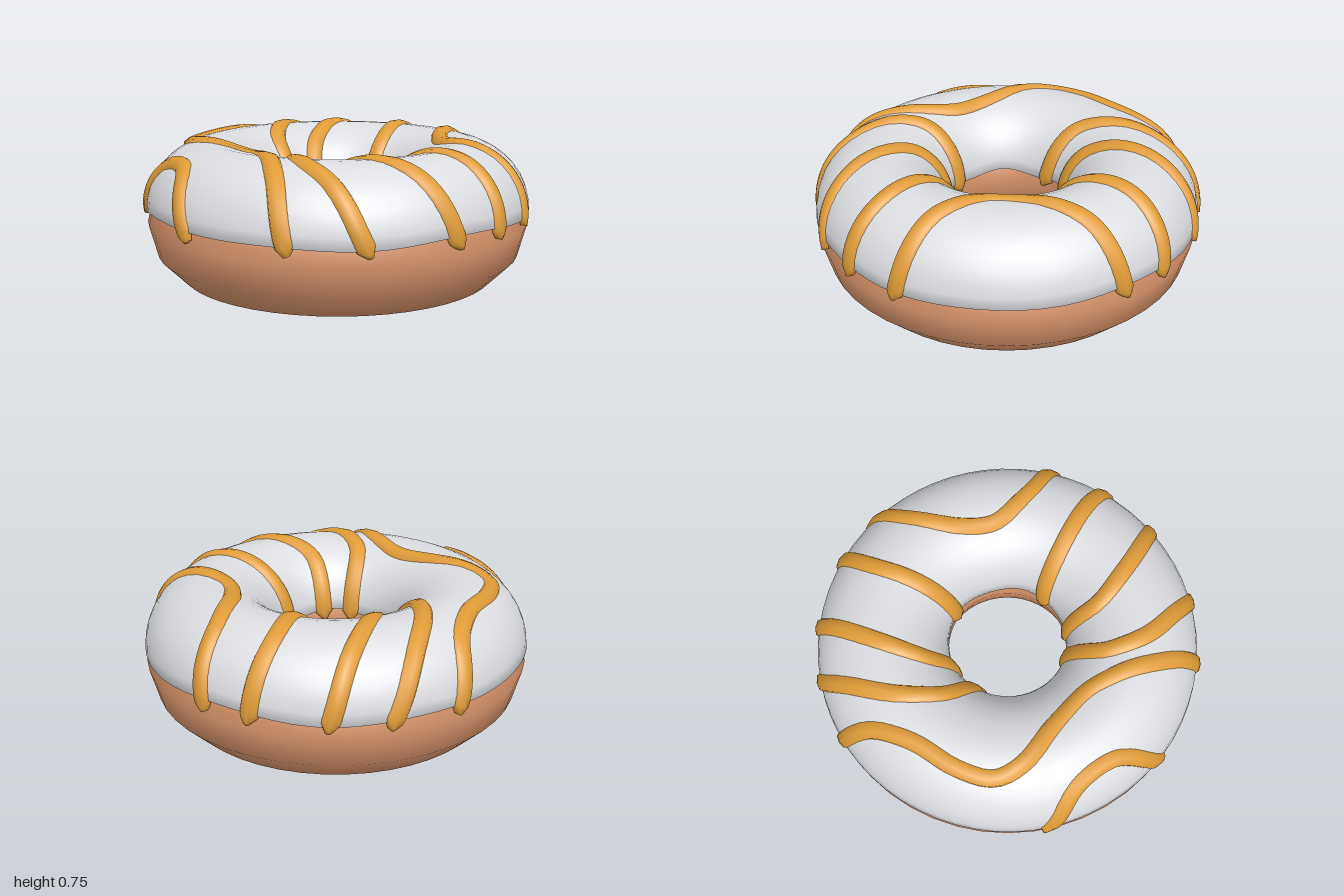
import * as THREE from 'three';

const R = 0.645;                          // ring radius
const A = 0.34, B = 0.335, YC = 0.4;      // icing half-ellipse section
const WIDTH = 0.05;                       // half width of a drizzle stripe

// Point on the icing: theta around the ring, t around the tube (0 outer, PI inner)
function icingPoint(theta, t, lift = 0) {
  const r = R + (A + lift) * Math.cos(t);
  return new THREE.Vector3(r * Math.sin(theta), YC + (B + lift) * Math.sin(t), r * Math.cos(theta));
}

// Snap any point to the icing surface, raised by lift
function snap(p, lift = 0) {
  const t = Math.atan2((p.y - YC) / B, (Math.hypot(p.x, p.z) - R) / A);
  return icingPoint(Math.atan2(p.x, p.z), t < -Math.PI / 2 ? t + 2 * Math.PI : t, lift);
}

// Smooth surface from equal rows of points, optionally joined last row to first
function gridSurface(rows, closed) {
  const n = rows[0].length, index = [];
  const count = closed ? rows.length : rows.length - 1;
  for (let i = 0; i < count; i++) {
    for (let j = 0; j < n - 1; j++) {
      const a = i * n + j, b = ((i + 1) % rows.length) * n + j;
      index.push(a, b, b + 1, a, b + 1, a + 1);
    }
  }
  const g = new THREE.BufferGeometry().setFromPoints(rows.flat());
  g.setIndex(index);
  g.computeVertexNormals();
  return g;
}

// Icing cap with a gently wavy lower edge tucked into the dough
function icingGeometry() {
  const rows = [], around = 64, across = 18;
  for (let i = 0; i < around; i++) {
    const th = (i / around) * Math.PI * 2;
    const t0 = 0.02 + 0.035 * Math.sin(4 * th + 0.4) + 0.02 * Math.sin(7 * th);
    const t1 = Math.PI - 0.02 + 0.04 * Math.sin(5 * th + 1);
    const row = [icingPoint(th, t0 - 0.01, -0.03)];
    for (let j = 0; j <= across; j++) row.push(icingPoint(th, t0 + (t1 - t0) * j / across));
    row.push(icingPoint(th, t1 + 0.01, -0.03));
    rows.push(row);
  }
  return gridSurface(rows, true);
}

// Raised drizzle ribbon following a plan path of [x, z] points
function stripeGeometry(path) {
  const pts = path.map(([x, z], i) => {
    const r = Math.hypot(x, z), th = Math.atan2(x, z);
    const end = i === 0 || i === path.length - 1;
    if (end) return icingPoint(th, r > R ? -0.1 : Math.PI + 0.1);
    return icingPoint(th, Math.acos(THREE.MathUtils.clamp((r - R) / A, -1, 1)));
  });
  const curve = new THREE.CatmullRomCurve3(pts);
  const length = curve.getLength(), n = 60, rows = [];
  const section = [[-1, -0.012], [-0.7, 0.013], [0, 0.02], [0.7, 0.013], [1, -0.012]];
  const centre = curve.getSpacedPoints(n).map(p => snap(p));
  for (let i = 0; i <= n; i++) {
    const p = centre[i];
    const tangent = centre[Math.min(n, i + 1)].clone().sub(centre[Math.max(0, i - 1)]).normalize();
    const normal = snap(p, 0.01).sub(p).normalize();
    const side = normal.cross(tangent).normalize();
    const d = Math.min(i, n - i) / n * length;
    const taper = Math.min(1, 0.35 + d / 0.045 * 0.65);
    rows.push(section.map(([s, h]) =>
      snap(p.clone().addScaledVector(side, s * WIDTH * taper), h)));
  }
  // close both tips by sinking them into the surface
  rows.unshift(rows[0].map(p => snap(p, -0.02)));
  rows.push(rows[rows.length - 1].map(p => snap(p, -0.02)));
  return gridSurface(rows, false);
}

const STRIPES = [
  [[-0.93, -0.33], [-0.87, -0.12], [-0.85, 0.1], [-0.91, 0.37]],
  [[-0.02, -0.98], [-0.14, -0.84], [-0.3, -0.7], [-0.52, -0.58], [-0.65, -0.45], [-0.66, -0.3],
    [-0.56, -0.05], [-0.5, 0.15], [-0.51, 0.35], [-0.57, 0.6], [-0.59, 0.79]],
  [[0.32, -0.93], [0.1, -0.82], [-0.06, -0.65], [-0.16, -0.45], [-0.18, -0.26]],
  [[0.57, -0.8], [0.38, -0.72], [0.18, -0.56], [0.05, -0.42], [-0.02, -0.3]],
  [[0.83, -0.54], [0.62, -0.45], [0.45, -0.31], [0.29, -0.15]],
  [[0.93, -0.32], [0.75, -0.15], [0.57, 0.05], [0.5, 0.22], [0.56, 0.45], [0.67, 0.71]],
  [[-0.26, 0.96], [-0.37, 0.75], [-0.41, 0.55], [-0.37, 0.35], [-0.24, 0.21]],
  [[0.18, 0.97], [0.02, 0.8], [-0.08, 0.6], [-0.13, 0.45], [-0.12, 0.3]],
  [[0.43, 0.88], [0.35, 0.68], [0.25, 0.5], [0.12, 0.31]],
];

export function createModel() {
  const material = (name, color, side = THREE.FrontSide) => {
    const m = new THREE.MeshStandardMaterial({ color, side });
    m.name = name;
    return m;
  };
  const doughMat = material('dough', 0xd9946a);
  const icingMat = material('icing', 0xdcdde1, THREE.DoubleSide);
  const drizzleMat = material('drizzle', 0xe09c38, THREE.DoubleSide);

  const group = new THREE.Group();
  group.name = 'doughnut';
  const add = (name, geometry, mat) => {
    const mesh = new THREE.Mesh(geometry, mat);
    mesh.name = name;
    group.add(mesh);
  };

  // Dough ring
  const dough = new THREE.TorusGeometry(R, 0.335, 12, 48);
  dough.rotateX(Math.PI / 2).translate(0, 0.335, 0);
  add('doughRing', dough, doughMat);

  // Icing and drizzle
  add('icing', icingGeometry(), icingMat);
  STRIPES.forEach((path, i) => add(`drizzleStripe${i + 1}`, stripeGeometry(path), drizzleMat));
  return group;
}
